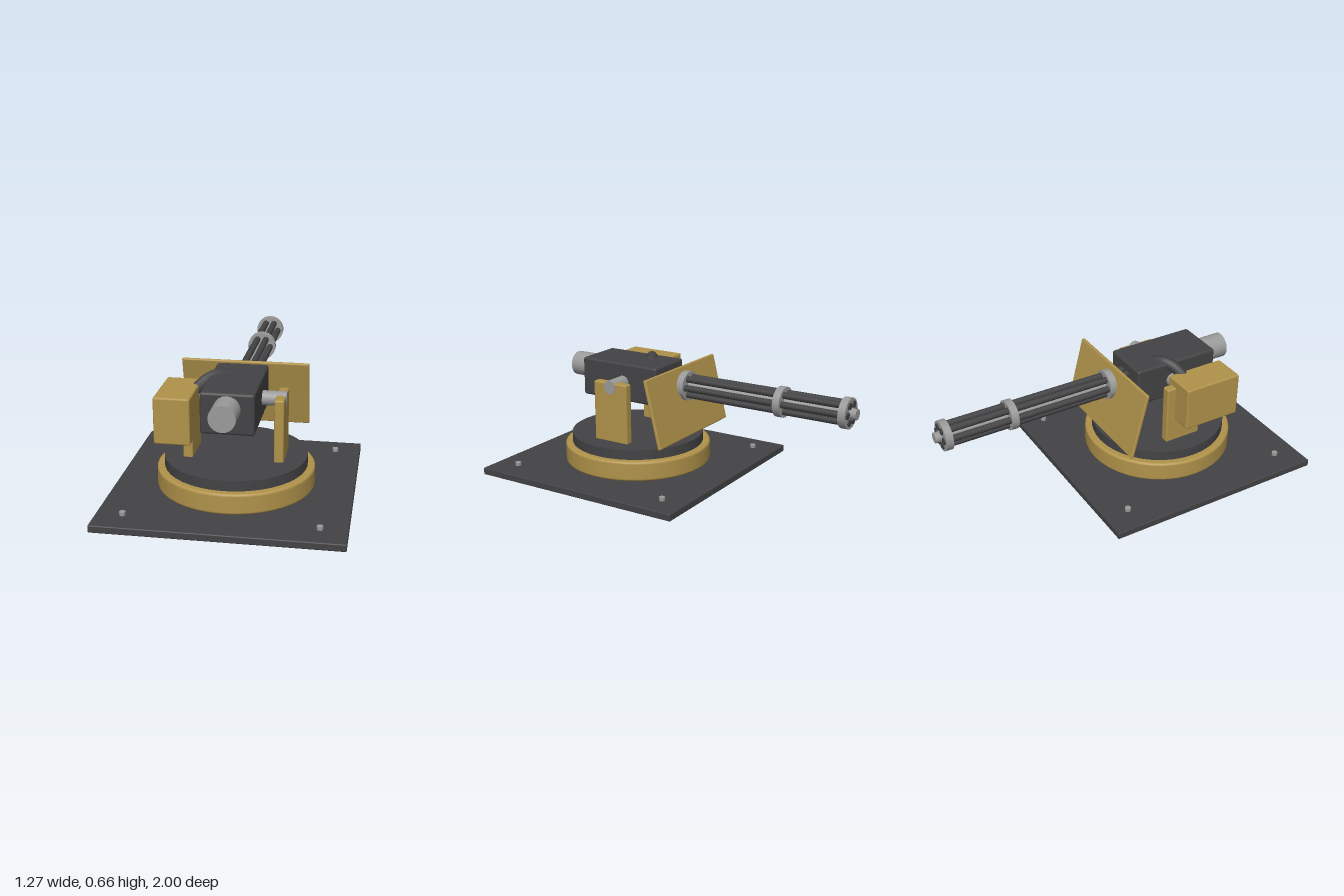
import * as THREE from 'three';
import { RoundedBoxGeometry } from 'three/addons/geometries/RoundedBoxGeometry.js';

export function createModel() {
  const root = new THREE.Group();
  root.name = 'gunTurret';
  const gold = new THREE.MeshStandardMaterial({ color: 0xb0924a });
  const dark = new THREE.MeshStandardMaterial({ color: 0x434345 });
  const steel = new THREE.MeshStandardMaterial({ color: 0x9a9a9a });
  const PIVOT_Z = 0.3625, BORE_Y = 0.527;

  function add(name, geometry, material, x, y, z) {
    const mesh = new THREE.Mesh(geometry, material);
    mesh.name = name;
    mesh.position.set(x, y, z);
    root.add(mesh);
    return mesh;
  }
  // Rounded box given by its extents
  function box(name, material, x0, x1, y0, y1, z0, z1, r = 0.01) {
    const g = new RoundedBoxGeometry(x1 - x0, y1 - y0, z1 - z0, 2, r);
    return add(name, g, material, (x0 + x1) / 2, (y0 + y1) / 2, (z0 + z1) / 2);
  }
  // Cylinder along z between z0 and z1
  function rod(name, material, r, x, y, z0, z1, sides = 24) {
    const g = new THREE.CylinderGeometry(r, r, z1 - z0, sides).rotateX(Math.PI / 2);
    return add(name, g, material, x, y, (z0 + z1) / 2);
  }

  // Base plate with corner bolts
  box('basePlate', dark, -0.635, 0.635, 0.003, 0.043, PIVOT_Z - 0.6375, PIVOT_Z + 0.6375, 0.006);
  for (const sx of [-1, 1]) for (const sz of [-1, 1]) {
    add('bolt', new THREE.CylinderGeometry(0.017, 0.017, 0.03, 8), steel, sx * 0.495, 0.047, PIVOT_Z + sz * 0.4975);
  }

  // Bearing ring with rounded edges, and the turntable on it
  const profile = new THREE.Path();
  profile.moveTo(0.001, 0.043).lineTo(0.405, 0.043);
  profile.absarc(0.407, 0.058, 0.015, -Math.PI / 2, 0, false);
  profile.absarc(0.407, 0.142, 0.015, 0, Math.PI / 2, false);
  profile.lineTo(0.001, 0.157);
  add('bearingRing', new THREE.LatheGeometry(profile.getPoints(4), 40), gold, 0, 0, PIVOT_Z);
  add('turntable', new THREE.CylinderGeometry(0.382, 0.382, 0.1, 40), dark, 0, 0.163, PIVOT_Z);

  // Yoke arms and the trunnion between them
  for (const s of [-1, 1]) {
    box('yokeArm', gold, s * 0.24 - 0.026, s * 0.24 + 0.026, 0.2, 0.553, 0.253, 0.473);
  }
  add('trunnion', new THREE.CylinderGeometry(0.039, 0.039, 0.536, 20).rotateZ(Math.PI / 2), steel, 0, BORE_Y, PIVOT_Z);

  // Receiver, drive motor and ammunition box
  box('receiver', dark, -0.14, 0.14, 0.417, 0.637, 0.138, 0.643, 0.014);
  rod('driveMotor', steel, 0.07, 0, 0.555, 0.6, 0.785, 20);
  box('ammoBox', gold, -0.38, -0.19, 0.345, 0.596, 0.305, 0.643);

  // Feed chute arching from box to receiver
  const chute = new THREE.CatmullRomCurve3([
    new THREE.Vector3(-0.21, 0.565, 0.395),
    new THREE.Vector3(-0.15, 0.615, 0.36),
    new THREE.Vector3(-0.1, 0.63, 0.325),
    new THREE.Vector3(-0.03, 0.608, 0.285),
  ]);
  add('feedChute', new THREE.TubeGeometry(chute, 16, 0.031, 10), dark, 0, 0, 0);

  // Sloped gun shield
  const shield = add('shield', new RoundedBoxGeometry(0.705, 0.388, 0.02, 2, 0.008), gold, 0, 0.441, 0.024);
  shield.rotation.x = 0.243;

  // Rotary barrel cluster: shaft, six barrels and clamps
  rod('centreShaft', steel, 0.029, 0, BORE_Y, -1, 0.15, 16);
  for (let i = 0; i < 6; i++) {
    const a = i * Math.PI / 3;
    rod('barrel', dark, 0.0185, Math.cos(a) * 0.051, BORE_Y + Math.sin(a) * 0.051, -0.971, 0.15, 12);
  }
  for (const z of [0.022, -0.573, -0.944]) {
    rod('barrelClamp', steel, 0.083, 0, BORE_Y, z - 0.02, z + 0.02, 24);
  }
  return root;
}
